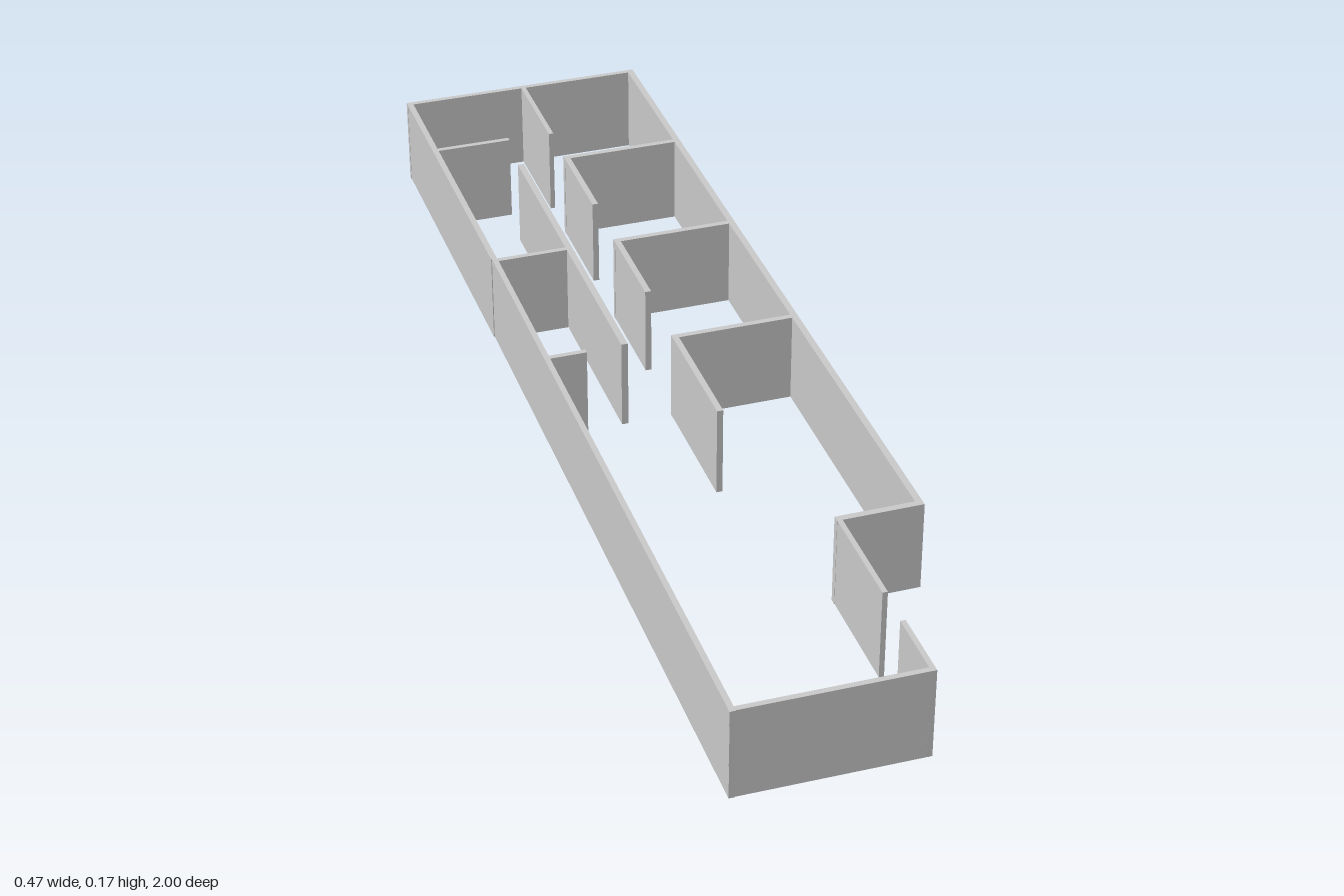
import * as THREE from 'three';

const HEIGHT = 0.167;

export function createModel() {
  const model = new THREE.Group();
  model.name = 'floorPlanWalls';
  const material = new THREE.MeshStandardMaterial({ color: 0xcccccc, flatShading: true });

  // Upright wall running between two plan points along its centre line
  function wall(name, x1, z1, x2, z2, thickness = 0.012) {
    const dx = x2 - x1, dz = z2 - z1;
    const mesh = new THREE.Mesh(new THREE.BoxGeometry(Math.hypot(dx, dz), HEIGHT, thickness), material);
    mesh.position.set((x1 + x2) / 2, HEIGHT / 2, (z1 + z2) / 2);
    mesh.rotation.y = -Math.atan2(dz, dx);
    mesh.name = name;
    model.add(mesh);
  }

  // Outer shell, with a stepped front corner and a doorway in the step
  wall('backWall', -0.234, -0.995, 0.235, -0.995, 0.01);
  wall('longWallPlusX', 0.229, -1, 0.229, 0.594);
  wall('longWallMinusXBack', -0.228, -1, -0.226, -0.365, 0.011);
  wall('longWallMinusXFront', -0.225, -0.365, -0.23, 0.998, 0.01);
  wall('stepWall', 0.084, 0.588, 0.235, 0.588);
  wall('entryWallBack', 0.089, 0.588, 0.089, 0.795, 0.009);
  wall('entryWallFront', 0.089, 0.87, 0.089, 1, 0.009);
  wall('frontWall', -0.235, 0.992, 0.093, 0.995, 0.01);

  // Rooms on the +x side: a cross wall with a short return beside each doorway
  for (const [z, end] of [[-0.69, -0.5], [-0.36, -0.17], [-0.013, 0.235]]) {
    wall('roomCrossWall', 0.001, z, 0.225, z, 0.011);
    wall('roomReturnWall', 0.007, z, 0.007, end, 0.011);
  }
  wall('backPartition', 0.004, -0.99, 0.004, -0.79, 0.009);

  // Corridor wall and the cross walls on the -x side
  wall('corridorWall', -0.085, -0.69, -0.085, 0.015 - 0.03);
  for (const [z, end] of [[-0.795, -0.08], [-0.36, -0.085], [-0.015, -0.155]]) {
    wall('corridorCrossWall', -0.224, z, end, z, 0.01);
  }

  return model;
}
